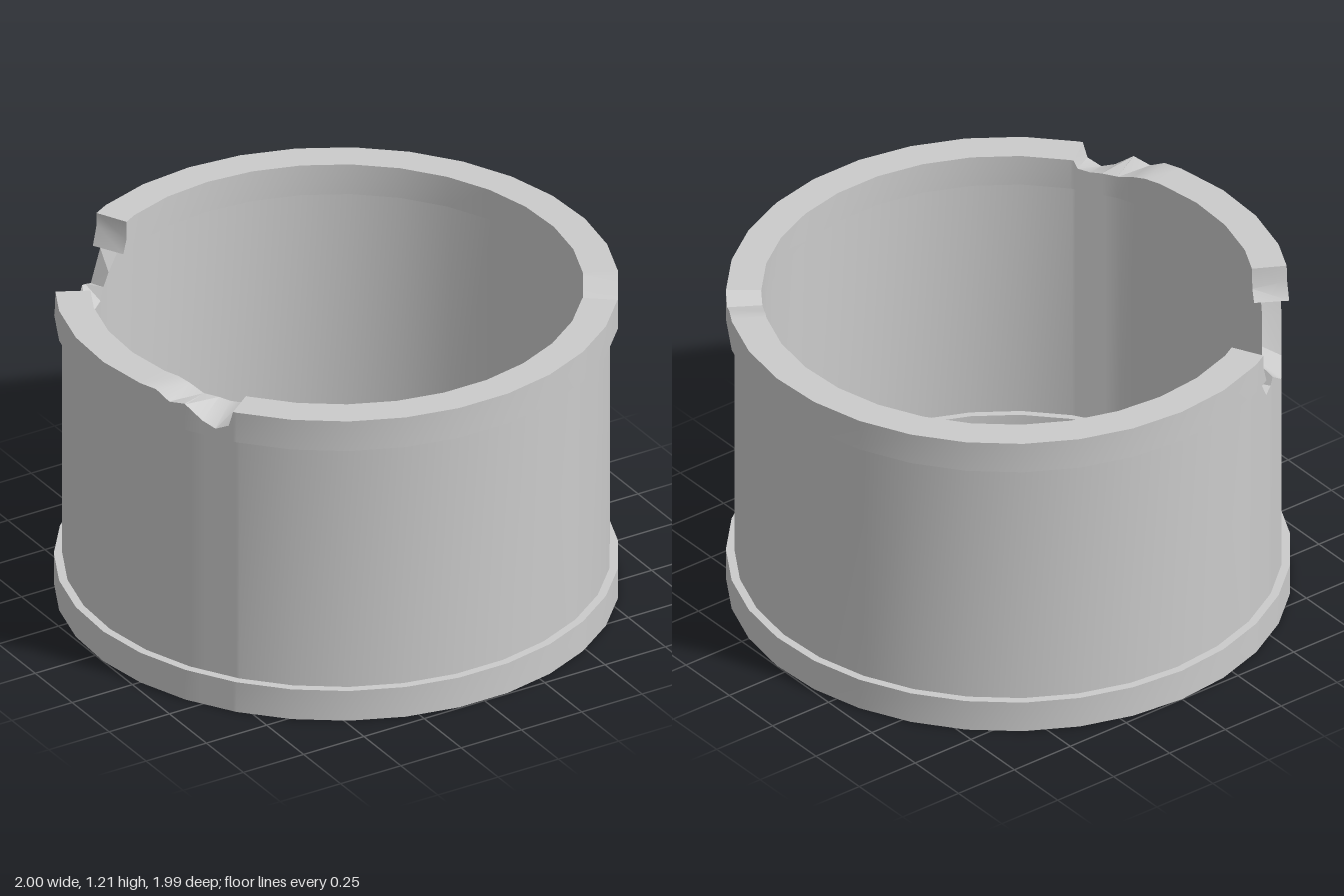
import * as THREE from 'three';
import { toCreasedNormals } from 'three/addons/utils/BufferGeometryUtils.js';

const SIDES = 31, HEIGHT = 1.21, RIM = 0.12, STEP = 360 / SIDES;

// Chips in the upper edge: [angle from front, outer depth, inner depth, rim broken away]
const chips = [
  [ // large break through the rim
    [-153, 0, 0, 0], [-153, 0.05, 0.07, 0], [-151.5, RIM, RIM, 0], [-151.5, RIM, RIM, 1],
    [-147.5, 0.23, 0.17, 1], [-143, 0.2, 0.25, 1], [-134.5, 0.3, 0.25, 1], [-124.5, 0.31, 0.27, 1],
    [-121, RIM, RIM, 1], [-121, RIM, RIM, 0], [-119, 0.06, 0.08, 0], [-118.5, 0, 0, 0],
  ],
  [ // shallow chip on the right
    [-71.4, 0, 0, 0], [-68, 0.03, 0.01, 0], [-64, 0.015, 0.03, 0], [-60, 0.065, 0.03, 0],
    [-57, 0.085, 0.035, 0], [-54, 0.06, 0.03, 0], [-53, 0, 0, 0],
  ],
  [ // small chip on the left
    [52, 0, 0, 0], [55, 0.04, 0.035, 0], [59, 0.01, 0.02, 0], [62.4, 0, 0, 0],
  ],
];

// Sections at every corner of the ring plus every point of the chips
function sections() {
  const list = [];
  for (let i = 0; i < SIDES; i++) {
    const a = -180 + i * STEP;
    if (!chips.some(c => a >= c[0][0] && a <= c[c.length - 1][0])) list.push([a, 0, 0, 0]);
  }
  for (const chip of chips) {
    chip.forEach((k, i) => {
      list.push(k);
      const n = chip[i + 1];
      if (!n) return;
      for (let s = 0; s < SIDES; s++) {
        const a = -180 + s * STEP;
        if (a <= k[0] || a >= n[0]) continue;
        const t = (a - k[0]) / (n[0] - k[0]);
        list.push([a, k[1] + (n[1] - k[1]) * t, k[2] + (n[2] - k[2]) * t, k[3] && n[3]]);
      }
    });
  }
  return list.sort((p, q) => p[0] - q[0]); // stable, keeps doubled angles in order
}

// Cross-section of the wall: up the outside, down the inside
function profile([, outerDepth, innerDepth, broken]) {
  const to = HEIGHT - outerDepth, ti = HEIGHT - innerDepth, ledge = HEIGHT - RIM;
  const ro = broken ? 0.97 : 1, ri = broken ? 0.9 : 0.875;
  const yo = Math.min(ledge, to), yi = Math.min(ledge, ti);
  return [
    [1, 0], [1, RIM], [0.97, RIM], [0.97, yo], [ro, yo], [ro, to],
    [ri, ti], [ri, yi], [0.9, yi], [0.9, RIM], [0.875, RIM], [0.875, 0],
  ];
}

function ringGeometry() {
  const secs = sections();
  const loops = secs.map(sec => {
    const a = sec[0];
    // keep points on the flat sides of the polygon
    const within = ((a + 180) / STEP) % 1;
    const off = (within - 0.5) * STEP * Math.PI / 180;
    const flat = Math.cos(Math.PI / SIDES) / Math.cos(off);
    const rad = a * Math.PI / 180;
    return profile(sec).map(([r, y]) =>
      new THREE.Vector3(Math.sin(rad) * r * flat, y, Math.cos(rad) * r * flat));
  });
  const pos = [];
  const tri = (a, b, c) => {
    const area = b.clone().sub(a).cross(c.clone().sub(a)).length();
    if (area > 1e-8) pos.push(...a.toArray(), ...b.toArray(), ...c.toArray());
  };
  loops.forEach((p, i) => {
    const q = loops[(i + 1) % loops.length];
    for (let j = 0; j < p.length; j++) {
      const k = (j + 1) % p.length;
      tri(p[j], q[j], q[k]);
      tri(p[j], q[k], p[k]);
    }
  });
  const geo = new THREE.BufferGeometry();
  geo.setAttribute('position', new THREE.Float32BufferAttribute(pos, 3));
  return toCreasedNormals(geo, 0.5);
}

export function createModel() {
  const group = new THREE.Group();
  const wall = new THREE.Mesh(ringGeometry(), new THREE.MeshStandardMaterial({ color: 0xcccccc }));
  wall.name = 'chippedRingWall';
  group.add(wall);
  group.name = 'brokenWellRing';
  return group;
}
